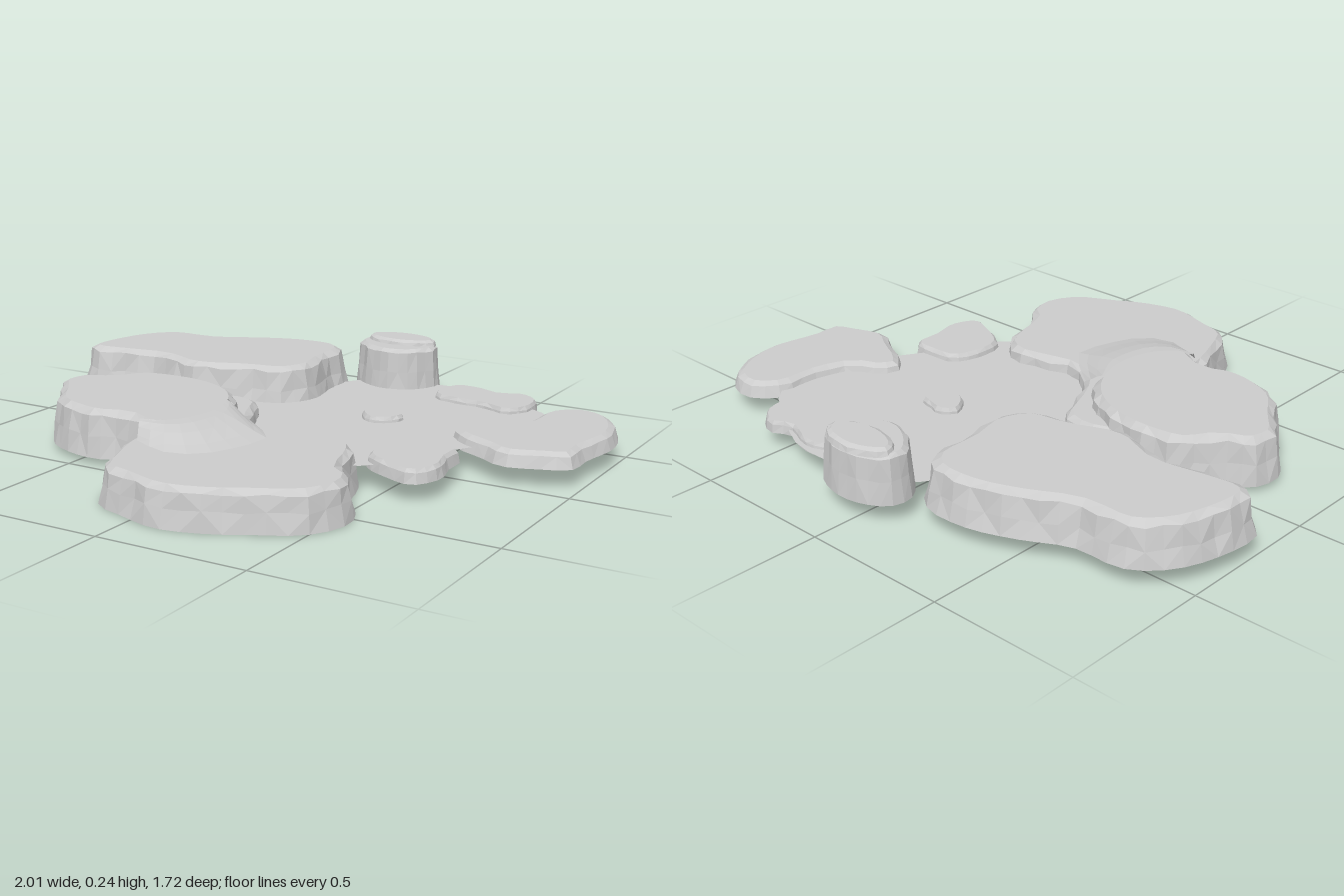
import * as THREE from 'three';

const material = new THREE.MeshStandardMaterial({ color: 0xcccccc, flatShading: true, side: THREE.DoubleSide });

// Smooth closed outline through [x, z] points, running counter-clockwise seen from above
function outline(points, count) {
  const curve = new THREE.CatmullRomCurve3(points.map(([x, z]) => new THREE.Vector3(x, 0, z)), true);
  const ring = curve.getSpacedPoints(count).slice(0, count).map((p) => new THREE.Vector2(p.x, p.z));
  return THREE.ShapeUtils.area(ring) > 0 ? ring.reverse() : ring;
}

// Move each outline point inwards along its normal, with a slight waver
function inset(ring, distance, waver) {
  const n = ring.length;
  return ring.map((p, i) => {
    const t = ring[(i + 1) % n].clone().sub(ring[(i + n - 1) % n]).normalize();
    const d = distance + waver * Math.sin(i * 2.4 + distance * 90);
    return new THREE.Vector2(p.x + t.y * d, p.y - t.x * d);
  });
}

// Triangles filling a ring, facing up
function capFaces(ring) {
  return THREE.ShapeUtils.triangulateShape(ring, []).map(([a, b, c]) =>
    THREE.ShapeUtils.area([ring[a], ring[b], ring[c]]) > 0 ? [a, c, b] : [a, b, c]);
}

function meshFrom(name, positions, index) {
  const geometry = new THREE.BufferGeometry();
  geometry.setAttribute('position', new THREE.Float32BufferAttribute(positions, 3));
  geometry.setIndex(index);
  const flat = geometry.toNonIndexed();
  flat.computeVertexNormals();
  const mesh = new THREE.Mesh(flat, material);
  mesh.name = name;
  return mesh;
}

// Shell of stacked inset rings [height, inset], open below; walls are left out where isOpen(p) holds
function rock(name, points, count, layers, rough = 0.006, isOpen = () => false) {
  const base = outline(points, count);
  const positions = [], index = [];
  let top = base;
  layers.forEach(([y, distance], k) => {
    const inner = k > 0 && k < layers.length - 1;
    top = inset(base, distance, inner ? rough : 0);
    top.forEach((p, i) => {
      positions.push(p.x, y + (inner ? rough * 0.6 * Math.sin(i * 1.9 + k) : 0), p.y);
      if (k === 0 || isOpen(base[i])) return;
      const j = (i + 1) % count, lo = (k - 1) * count, hi = k * count;
      if ((i + k) % 3) index.push(lo + i, lo + j, hi + j, lo + i, hi + j, hi + i);
      else index.push(lo + i, lo + j, hi + i, lo + j, hi + j, hi + i);
    });
  });
  const last = (layers.length - 1) * count;
  for (const [a, b, c] of capFaces(top)) index.push(last + a, last + b, last + c);
  return meshFrom(name, positions, index);
}

// Flat sheet joining the islands
function sheet(name, points, y) {
  const ring = outline(points, 40);
  return meshFrom(name, ring.flatMap((p) => [p.x, y, p.y]), capFaces(ring).flat());
}

// Fan-shaped slope from the raised terrace down to the front rock
function ramp(name) {
  const edge = (points) => new THREE.CatmullRomCurve3(points.map(([x, z]) => new THREE.Vector3(x, 0, z))).getSpacedPoints(10);
  const upper = edge([[-0.15, 0.12], [-0.125, 0.2], [-0.12, 0.28], [-0.13, 0.36], [-0.17, 0.42], [-0.25, 0.45]]);
  const lower = edge([[-0.05, 0.13], [0.05, 0.21], [0.12, 0.28], [0.1, 0.42], [0.04, 0.54], [-0.06, 0.58], [-0.21, 0.52]]);
  const profile = [[0, 0.174], [0.2, 0.171], [0.45, 0.158], [0.75, 0.137], [1, 0.123]];
  const positions = [], index = [], n = upper.length;
  profile.forEach(([t, y], k) => upper.forEach((p, i) => {
    const q = p.clone().lerp(lower[i], t);
    positions.push(q.x, y, q.z);
    if (k === 0 || i === 0) return;
    const a = (k - 1) * n + i - 1, b = a + 1, c = k * n + i, d = c - 1;
    index.push(a, b, c, a, c, d);
  }));
  return meshFrom(name, positions, index);
}

export function createModel() {
  const model = new THREE.Group();
  model.name = 'rockIslands';

  model.add(sheet('waterSheet', [
    [-0.09, -0.67], [0.02, -0.72], [0.2, -0.765], [0.38, -0.755], [0.55, -0.66], [0.7, -0.565], [0.76, -0.4],
    [0.71, -0.2], [0.6, -0.04], [0.52, 0.15], [0.42, 0.27], [0.25, 0.26], [0, 0.25], [-0.17, 0.08], [-0.25, -0.12], [-0.2, -0.4],
  ], 0.08));

  // Large rocks
  model.add(rock('frontRock', [
    [-0.53, 0.03], [-0.45, -0.08], [-0.36, -0.11], [-0.25, -0.14], [-0.14, -0.1], [-0.08, 0.03], [-0.02, 0.13], [0.06, 0.18],
    [0.18, 0.16], [0.28, 0.14], [0.38, 0.18], [0.43, 0.28], [0.47, 0.41], [0.53, 0.46], [0.55, 0.57], [0.49, 0.69],
    [0.35, 0.77], [0.26, 0.82], [0.1, 0.86], [-0.05, 0.82], [-0.16, 0.78], [-0.22, 0.66], [-0.27, 0.5], [-0.28, 0.36],
    [-0.36, 0.26], [-0.5, 0.14],
  ], 54, [[0, 0], [0.06, 0.012], [0.108, 0.02], [0.125, 0.04]]));

  model.add(rock('leftTerrace', [
    [-0.805, 0.17], [-0.78, 0.06], [-0.69, 0.01], [-0.62, -0.08], [-0.47, -0.11], [-0.32, -0.09], [-0.19, -0.02],
    [-0.1, 0.1], [-0.065, 0.25], [-0.1, 0.4], [-0.2, 0.49], [-0.33, 0.44], [-0.41, 0.465], [-0.5, 0.46], [-0.64, 0.4], [-0.73, 0.28],
  ], 44, [[0.02, 0], [0.09, 0.012], [0.155, 0.022], [0.175, 0.045]], 0.006, (p) => p.x > -0.19 && p.y > 0.12));
  model.add(ramp('terraceRamp'));

  model.add(rock('backRock', [
    [-1, -0.22], [-0.98, -0.42], [-0.92, -0.54], [-0.83, -0.61], [-0.66, -0.62], [-0.52, -0.69], [-0.36, -0.745],
    [-0.2, -0.74], [-0.12, -0.66], [-0.11, -0.5], [-0.085, -0.37], [-0.15, -0.24], [-0.3, -0.2], [-0.43, -0.15],
    [-0.52, -0.15], [-0.65, -0.2], [-0.8, -0.18], [-0.94, -0.17],
  ], 46, [[0.065, 0], [0.12, 0.015], [0.185, 0.028], [0.2, 0.055]]));

  // Stepped pillar
  model.add(rock('pillar', [
    [-0.12, -0.8], [-0.05, -0.85], [0.05, -0.865], [0.17, -0.82], [0.195, -0.74], [0.14, -0.645], [0.04, -0.615],
    [-0.05, -0.65], [-0.125, -0.73],
  ], 24, [[0.065, 0], [0.14, 0.008], [0.21, 0.014], [0.222, 0.03]], 0.004));
  model.add(rock('pillarCap', [
    [-0.1, -0.79], [-0.04, -0.84], [0.05, -0.855], [0.15, -0.82], [0.17, -0.765], [0.1, -0.715], [0, -0.71], [-0.08, -0.745],
  ], 20, [[0.215, 0], [0.232, 0.006], [0.24, 0.02]], 0.002));

  // Low pads
  const pad = (name, points, count, top, bevel) =>
    model.add(rock(name, points, count, [[0.06, 0], [top - 0.012, bevel * 0.4], [top, bevel]], 0.002));
  pad('rightIsland', [
    [0.53, -0.17], [0.56, -0.24], [0.65, -0.29], [0.69, -0.4], [0.7, -0.55], [0.79, -0.63], [0.9, -0.6], [0.97, -0.5],
    [1, -0.37], [0.975, -0.2], [0.97, -0.09], [0.88, -0.045], [0.77, -0.015], [0.68, -0.065], [0.59, -0.11],
  ], 34, 0.11, 0.035);
  pad('backPad', [
    [0.25, -0.66], [0.29, -0.74], [0.38, -0.74], [0.46, -0.71], [0.53, -0.74], [0.61, -0.69], [0.62, -0.57],
    [0.57, -0.51], [0.46, -0.545], [0.37, -0.55], [0.27, -0.58],
  ], 28, 0.1, 0.012);
  pad('frontPad', [
    [0.41, 0.09], [0.45, 0], [0.54, -0.015], [0.64, 0], [0.65, 0.1], [0.67, 0.2], [0.62, 0.295], [0.53, 0.27], [0.42, 0.2],
  ], 24, 0.105, 0.018);
  pad('smallStone', [
    [0.15, -0.27], [0.19, -0.315], [0.25, -0.305], [0.31, -0.28], [0.29, -0.21], [0.23, -0.18], [0.18, -0.21],
  ], 16, 0.1, 0.013);

  return model;
}
